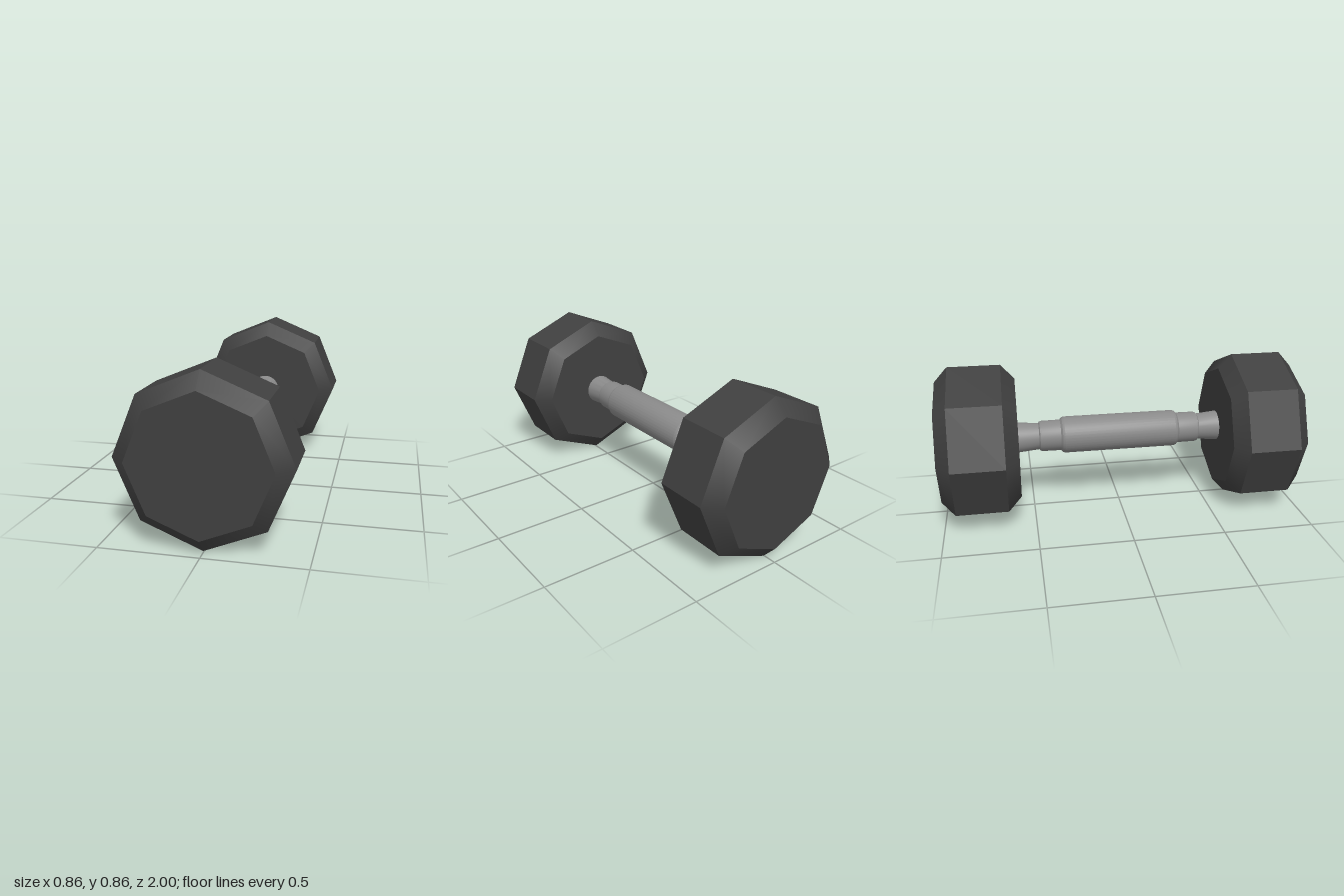
import * as THREE from 'three';
import { toCreasedNormals } from 'three/addons/utils/BufferGeometryUtils.js';

const AXIS_Y = 0.428;   // height of the bar's axis
const HEAD_R = 0.428;   // outer octagon radius
const FACE_R = 0.348;   // radius of the flat end faces
const SIDES = 8;

export function createModel() {
  const rubber = new THREE.MeshStandardMaterial({ name: 'dark rubber', color: 0x404040 });
  const steel = new THREE.MeshStandardMaterial({ name: 'grey steel', color: 0x8a8a8a });
  const model = new THREE.Group();
  model.name = 'dumbbell';

  // Octagonal ring along z, from z0 (radius r0) to z1 (radius r1)
  function ring(name, r0, r1, z0, z1, flat) {
    let g = new THREE.CylinderGeometry(r1, r0, z1 - z0, SIDES, 1, true);
    g.rotateX(Math.PI / 2);
    g.translate(0, 0, (z0 + z1) / 2);
    if (flat) {
      g = g.toNonIndexed();
      g.computeVertexNormals();
    }
    const mesh = new THREE.Mesh(g, rubber);
    mesh.name = name;
    return mesh;
  }

  // Flat octagonal end face
  function face(name, z, facing) {
    const mesh = new THREE.Mesh(new THREE.CircleGeometry(FACE_R, SIDES), rubber);
    mesh.name = name;
    mesh.position.z = z;
    if (facing < 0) mesh.rotation.y = Math.PI;
    return mesh;
  }

  // Bevelled weights, the back one is the front one turned around
  for (const side of [1, -1]) {
    const head = new THREE.Group();
    head.name = side > 0 ? 'frontWeight' : 'backWeight';
    head.add(
      face('outerFace', 1, 1),
      ring('outerBevel', HEAD_R, FACE_R, 0.928, 1, false),
      ring('rim', HEAD_R, HEAD_R, 0.647, 0.928, true),
      ring('innerBevel', FACE_R, HEAD_R, 0.575, 0.647, false),
      face('innerFace', 0.575, -1),
    );
    head.position.set(-0.004 * side, AXIS_Y, 0);
    if (side < 0) head.rotation.y = Math.PI;
    model.add(head);
  }

  // Turned handle: thick grip, stepped collars and flared necks
  const half = [
    [0.103, 0.315], [0.098, 0.327], [0.087, 0.337], [0.086, 0.44],
    [0.083, 0.452], [0.074, 0.458], [0.085, 0.58],
  ];
  const profile = [
    ...half.map(([r, z]) => new THREE.Vector2(r, -z)).reverse(),
    ...half.map(([r, z]) => new THREE.Vector2(r, z)),
  ];
  const barGeometry = toCreasedNormals(new THREE.LatheGeometry(profile, 40), 0.4);
  barGeometry.rotateX(Math.PI / 2);
  const bar = new THREE.Mesh(barGeometry, steel);
  bar.name = 'handle';
  bar.position.set(-0.001, AXIS_Y + 0.002, 0);
  model.add(bar);

  return model;
}
